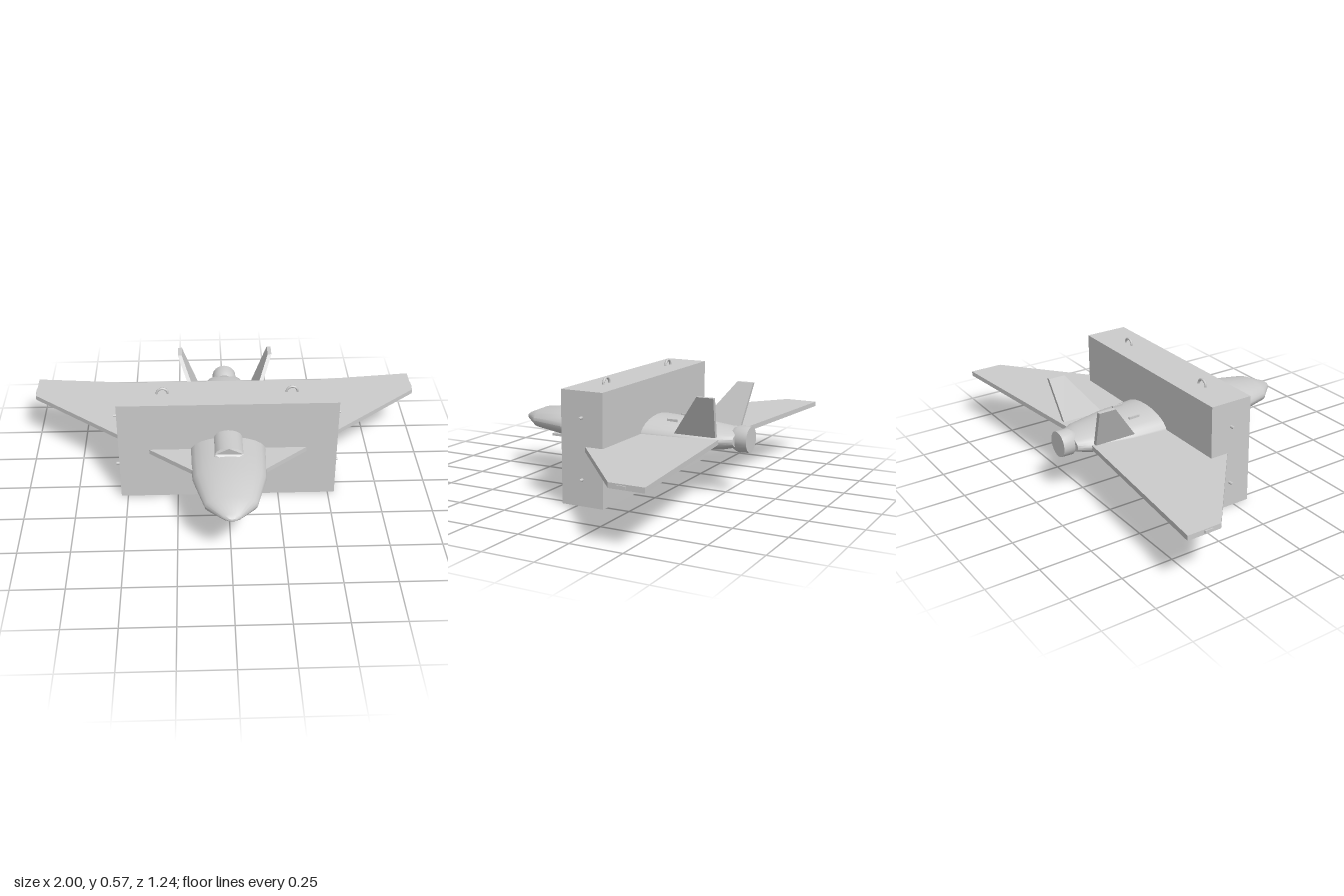
import * as THREE from 'three';
import { toCreasedNormals } from 'three/addons/utils/BufferGeometryUtils.js';

export function createModel() {
  const model = new THREE.Group();
  const material = new THREE.MeshStandardMaterial({ color: 0xcccccc });
  const V = (x, y) => new THREE.Vector2(x, y);
  const midY = 0.267;

  const add = (name, geometry, x = 0, y = 0, z = 0) => {
    const mesh = new THREE.Mesh(geometry, material);
    mesh.name = name;
    mesh.position.set(x, y, z);
    model.add(mesh);
    return mesh;
  };
  const extrude = (points, depth) =>
    new THREE.ExtrudeGeometry(new THREE.Shape(points.map(p => V(...p))), { depth, bevelEnabled: false });
  // Turned profile of [radius, z] pairs, lying along z
  const turned = (profile, sides, squash = 1) => toCreasedNormals(
    new THREE.LatheGeometry(profile.map(p => V(...p)), sides).rotateX(Math.PI / 2).scale(1, squash, 1), 0.6);

  // Flattened fuselage, tail to nose
  add('fuselage', turned([
    [0, -0.565], [0.088, -0.565], [0.125, -0.5], [0.165, -0.31], [0.182, -0.13],
    [0.185, 0.06], [0.182, 0.2], [0.174, 0.32], [0.122, 0.515], [0.045, 0.598], [0.02, 0.616], [0, 0.62],
  ], 24, 0.43), 0, midY);

  // Tail nozzle
  add('nozzle', turned([
    [0, -0.622], [0.062, -0.622], [0.063, -0.565], [0.05, -0.54], [0, -0.54],
  ], 24), 0, midY + 0.001);

  // Delta wing, one plate from tip to tip
  const half = [[0.1, 0.317], [0.995, -0.43], [0.995, -0.595], [0.24, -0.52], [0.12, -0.508]];
  const outline = [...half, ...half.map(([x, z]) => [-x, z]).reverse()];
  const wing = extrude(outline, 0.024).rotateX(Math.PI / 2);
  add('wing', wing, 0, midY + 0.012);

  // Crosswise block around the fuselage
  add('block', new THREE.BoxGeometry(1.066, 0.532, 0.215), 0, 0.266, -0.0275);

  // Dorsal scoop with a raked, pointed front
  const arch = [[0.068, 0.32], [0.068, 0.35], [0.058, 0.366], [0.04, 0.378], [0.02, 0.384]];
  const scoop = extrude([[0, 0.32], ...arch, [0, 0.386],
    ...arch.map(([x, y]) => [-x, y]).reverse()], 0.255);
  const sp = scoop.attributes.position;
  for (let i = 0; i < sp.count; i++) {
    if (sp.getZ(i) > 0.1) sp.setZ(i, 0.255 - (sp.getY(i) - 0.34) * 0.4 - Math.abs(sp.getX(i)) * 0.3);
  }
  add('dorsalScoop', toCreasedNormals(scoop, 0.5));

  // Plate under the nose
  add('bellyPlate', new THREE.BoxGeometry(0.08, 0.012, 0.11), 0, 0.186, 0.4);

  for (const side of [-1, 1]) {
    // Outward-leaning tail fin
    const fin = extrude([[-0.51, 0.295], [-0.3, 0.295], [-0.452, 0.495], [-0.535, 0.495]], 0.02)
      .rotateY(-Math.PI / 2).translate(0.01, 0, 0);
    const p = fin.attributes.position;
    for (let i = 0; i < p.count; i++) {
      p.setX(i, p.getX(i) + side * (0.155 + (p.getY(i) - 0.31) * 0.42));
    }
    fin.computeVertexNormals();
    add('tailFin', fin);

    // Small marker on each wing tip
    add('wingTipLight', new THREE.BoxGeometry(0.01, 0.012, 0.04), side * 0.995, midY, -0.492);

    // Lifting rings on top of the block
    add('liftingRing', new THREE.TorusGeometry(0.027, 0.006, 8, 24), side * 0.313, 0.533, -0.0275);

    // Pins in the ends of the block
    for (const y of [0.125, 0.41]) {
      add('sidePin', new THREE.CylinderGeometry(0.007, 0.007, 0.06, 12).rotateZ(Math.PI / 2),
        side * 0.527, y, -0.0275);
    }

    // Narrow lugs above and below the rear fuselage
    for (const y of [0.333, 0.202]) {
      add('rearLug', new THREE.BoxGeometry(0.008, 0.02, 0.055), side * 0.075, y, -0.25);
    }
  }
  return model;
}
